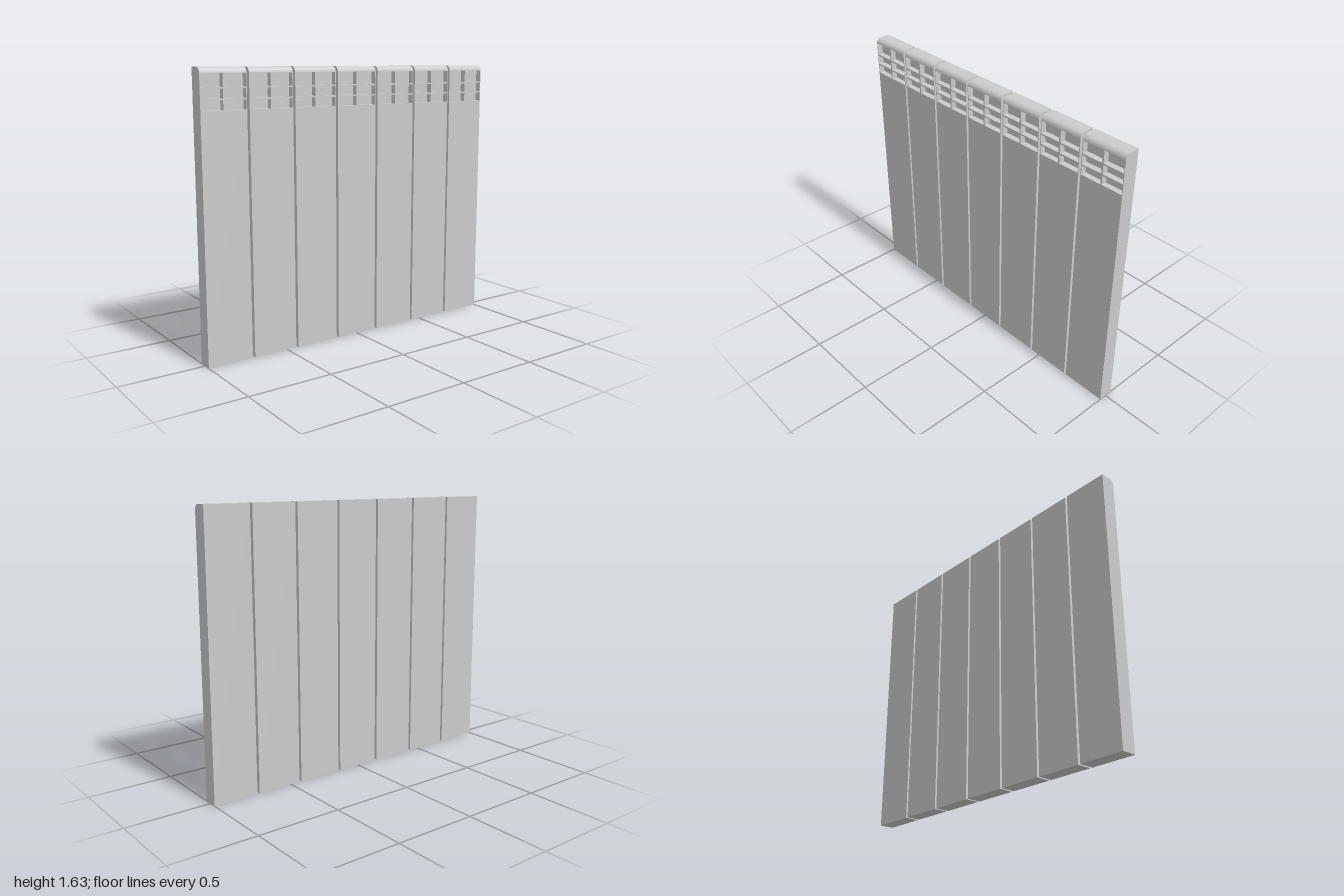
import * as THREE from 'three';
import { toCreasedNormals } from 'three/addons/utils/BufferGeometryUtils.js';

const COUNT = 7, WIDTH = 0.273, PITCH = (2 - WIDTH) / (COUNT - 1);
const HEIGHT = 1.63, HALF_DEPTH = 0.045, ROUND = 0.033;
const GRILLE_BOTTOM = 1.403, GRILLE_TOP = HEIGHT - ROUND, RECESS = 0.035;
const BAR = 0.009, SIDE = 0.004;

const material = new THREE.MeshStandardMaterial({ color: 0xcccccc });

// Side profile (z, y): flat panel, recessed grille band, rounded front top edge
function bodyGeometry() {
  const f = HALF_DEPTH, inner = f - RECESS;
  const s = new THREE.Shape();
  s.moveTo(-f, 0);
  s.lineTo(f, 0);
  s.lineTo(f, GRILLE_BOTTOM);
  s.lineTo(inner, GRILLE_BOTTOM);
  s.lineTo(inner, GRILLE_TOP);
  s.lineTo(f, GRILLE_TOP);
  s.absarc(f - ROUND, GRILLE_TOP, ROUND, 0, Math.PI / 2, false);
  s.lineTo(-f, HEIGHT);
  s.closePath();
  const g = new THREE.ExtrudeGeometry(s, { depth: WIDTH, bevelEnabled: false, curveSegments: 10 });
  g.rotateY(-Math.PI / 2).translate(WIDTH / 2, 0, 0);
  return toCreasedNormals(g, Math.PI / 6);
}

function addMesh(parent, name, geometry, x = 0, y = 0, z = 0) {
  const mesh = new THREE.Mesh(geometry, material);
  mesh.name = name;
  mesh.position.set(x, y, z);
  parent.add(mesh);
}

export function createModel() {
  const model = new THREE.Group();
  model.name = 'radiator';

  const body = bodyGeometry();
  const bandHeight = GRILLE_TOP - GRILLE_BOTTOM;
  const bandY = (GRILLE_TOP + GRILLE_BOTTOM) / 2;
  const barZ = HALF_DEPTH - RECESS / 2;
  const slat = new THREE.BoxGeometry(WIDTH - 2 * SIDE, BAR, RECESS);
  const divider = new THREE.BoxGeometry(BAR, bandHeight, RECESS);
  const cheek = new THREE.BoxGeometry(SIDE, bandHeight, RECESS);

  for (let i = 0; i < COUNT; i++) {
    const section = new THREE.Group();
    section.name = `section${i + 1}`;
    section.position.x = (i - (COUNT - 1) / 2) * PITCH;
    addMesh(section, 'panel', body);

    // Grille: two slats, a central divider and thin end walls
    for (const y of [1.46, 1.521]) addMesh(section, 'grilleSlat', slat, 0, y, barZ);
    addMesh(section, 'grilleDivider', divider, 0, bandY, barZ);
    for (const side of [-1, 1]) {
      addMesh(section, 'grilleEndWall', cheek, side * (WIDTH - SIDE) / 2, bandY, barZ);
    }
    model.add(section);
  }
  return model;
}
